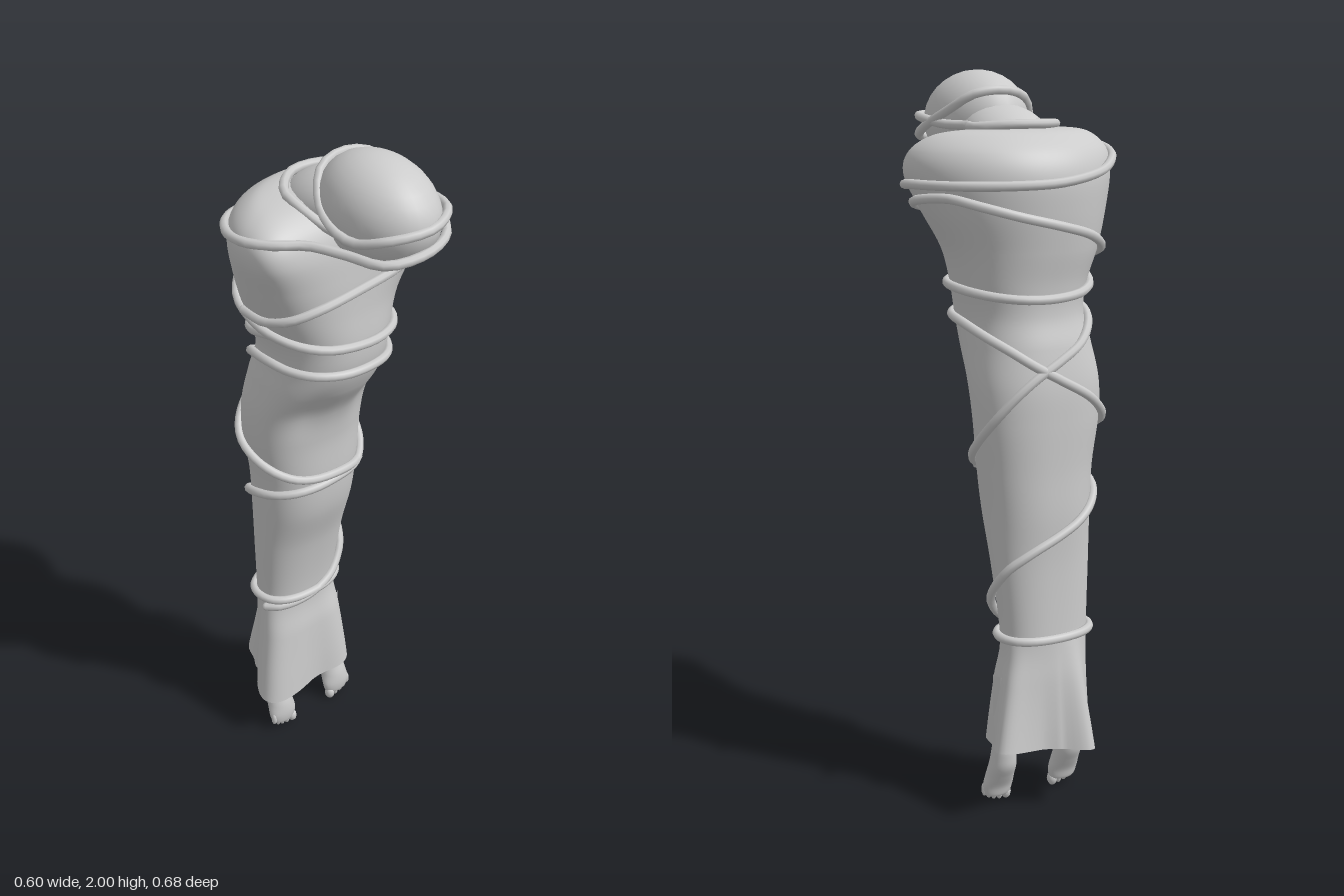
import * as THREE from 'three';
import { ParametricGeometry } from 'three/addons/geometries/ParametricGeometry.js';

const RAD = Math.PI / 180;
const grey = new THREE.MeshStandardMaterial({ color: 0xcccccc });
const greyThin = new THREE.MeshStandardMaterial({ color: 0xcccccc, side: THREE.DoubleSide });

// Cross-sections: [y, centre x, half width, front z, back z, forward curl of the sides]
const SHROUD = [
  [0.175, -0.005, 0.15, -0.085, -0.295, 0],
  [0.26, -0.005, 0.145, -0.09, -0.29, 0],
  [0.38, -0.005, 0.135, -0.10, -0.282, 0],
  [0.50, -0.008, 0.126, -0.115, -0.272, 0],
  [0.70, -0.006, 0.14, -0.085, -0.268, 0],
  [0.85, -0.004, 0.15, -0.042, -0.274, 0],
  [0.97, -0.003, 0.16, -0.03, -0.273, 0],
  [1.10, -0.008, 0.176, -0.025, -0.275, 0],
  [1.20, -0.008, 0.18, 0.00, -0.273, 0],
  [1.30, -0.005, 0.172, 0.062, -0.258, 0],
  [1.38, 0, 0.166, 0.093, -0.238, 0],
  [1.46, 0, 0.178, 0.10, -0.24, 0],
  [1.55, -0.008, 0.21, 0.095, -0.255, 0.02],
  [1.65, -0.003, 0.255, 0.092, -0.268, 0.055],
  [1.74, 0, 0.288, 0.085, -0.27, 0.085],
  [1.80, -0.002, 0.278, 0.065, -0.245, 0.08],
  [1.84, -0.002, 0.225, 0.02, -0.195, 0.055],
  [1.854, 0, 0.14, -0.03, -0.155, 0.02],
  [1.857, 0, 0.01, -0.09, -0.11, 0],
];
const LEG = [
  [0.02, 0, 0.012, -0.132, -0.15, 0],
  [0.026, 0, 0.037, -0.122, -0.16, 0],
  [0.055, 0, 0.046, -0.117, -0.17, 0],
  [0.09, 0, 0.042, -0.12, -0.19, 0],
  [0.125, 0, 0.039, -0.13, -0.208, 0],
  [0.16, 0, 0.036, -0.14, -0.212, 0],
  [0.22, 0, 0.034, -0.15, -0.212, 0],
  [0.40, 0, 0.034, -0.15, -0.22, 0],
];

// Smooth value between the rows of a table, t in row units
function blend(rows, t) {
  const i = Math.min(Math.max(Math.floor(t), 0), rows.length - 2), f = t - i;
  const at = k => rows[Math.min(Math.max(k, 0), rows.length - 1)];
  return rows[i].map((b, c) => {
    const a = at(i - 1)[c], d = at(i + 1)[c], e = at(i + 2)[c];
    return b + 0.5 * f * (d - a + f * (2 * a - 5 * b + 4 * d - e + f * (3 * (b - d) + e - a)));
  });
}

// Point on a lofted section; angle 0 faces front, 90 degrees faces +x
function sectionPoint(rows, t, angle, power, target) {
  const [y, cx, rx, front, back, curl] = blend(rows, t);
  const s = Math.sin(angle), c = Math.cos(angle);
  const sx = Math.sign(s) * Math.abs(s) ** power, cz = Math.sign(c) * Math.abs(c) ** power;
  return target.set(cx + rx * sx, y, (front + back) / 2 + (front - back) / 2 * cz + curl * sx * sx);
}

const bump = (angle, centre, width) => {
  const d = Math.atan2(Math.sin(angle - centre * RAD), Math.cos(angle - centre * RAD)) / (width * RAD);
  return Math.exp(-d * d);
};

// Cloth surface: loft plus hem folds and shallow hollows under the folded arms
function shroudPoint(t, angle, target) {
  const p = sectionPoint(SHROUD, t, angle, 0.86, target);
  const flare = Math.max(0, (0.5 - p.y) / 0.325);
  const dentY = Math.exp(-(((p.y - 1.23) / 0.08) ** 2));
  const push = flare * (0.045 * bump(angle, -62, 28) + 0.02 * bump(angle, 38, 22)
    + 0.055 * bump(angle, 120, 20) + 0.05 * bump(angle, 200, 14) - 0.01 * bump(angle, 165, 14)
    - 0.02 * bump(angle, 250, 16) - 0.012 * bump(angle, 0, 18))
    - dentY * (0.014 * bump(angle, -28, 20) + 0.008 * bump(angle, 32, 16));
  p.x += push * Math.sin(angle);
  p.z += push * Math.cos(angle);
  p.y += flare * (0.12 * p.x - 0.12 * (p.z + 0.14));
  return p;
}

// Point just off the cloth at a given height, for laying ropes
function onShroud(deg, y, off = 0.008) {
  let lo = 0, hi = SHROUD.length - 1;
  for (let i = 0; i < 24; i++) {
    const mid = (lo + hi) / 2;
    if (blend(SHROUD, mid)[0] < y) lo = mid; else hi = mid;
  }
  const a = deg * RAD, p = shroudPoint(lo, a, new THREE.Vector3());
  return p.add(new THREE.Vector3(Math.sin(a) * off, 0, Math.cos(a) * off));
}

// Rope rows [degrees, height, extra slack] become points on the cloth
function wind(rows) {
  const full = rows.map(r => [r[0], r[1], r[2] ?? 0.008]);
  const pts = [];
  for (let i = 0; i < full.length - 1; i++) {
    const steps = Math.max(1, Math.round((full[i + 1][0] - full[i][0]) / 22));
    for (let k = 0; k < steps; k++) pts.push(onShroud(...blend(full, i + k / steps)));
  }
  pts.push(onShroud(...full[full.length - 1]));
  return pts;
}

export function createModel() {
  const model = new THREE.Group();
  const add = (name, geometry, material = grey, parent = model) => {
    const mesh = new THREE.Mesh(geometry, material);
    mesh.name = name;
    parent.add(mesh);
    return mesh;
  };
  const ellipsoid = (name, pos, radii, tilt = 0, parent = model, detail = 32) => {
    const mesh = add(name, new THREE.SphereGeometry(1, detail, detail / 2), grey, parent);
    mesh.position.set(...pos);
    mesh.scale.set(...radii);
    mesh.rotation.x = tilt;
  };
  const rope = (name, pts, closed = false) => {
    const curve = new THREE.CatmullRomCurve3(pts, closed, 'centripetal');
    add(name, new THREE.TubeGeometry(curve, pts.length * 3, 0.0125, 8, closed));
    if (!closed) for (const end of [pts[0], pts[pts.length - 1]])
      ellipsoid('ropeEnd', end.toArray(), [0.0125, 0.0125, 0.0125], 0, model, 8);
  };

  // Cloth-wrapped body, open at the hem
  add('shroud', new ParametricGeometry((u, v, p) =>
    shroudPoint(v * (SHROUD.length - 1), u * Math.PI * 2, p), 96, 120), greyThin);

  // Bowed, covered head
  ellipsoid('neck', [0, 1.82, -0.02], [0.115, 0.088, 0.16], -0.3);
  ellipsoid('head', [-0.004, 1.868, 0.157], [0.128, 0.13, 0.178], 0.12);
  ellipsoid('face', [-0.004, 1.802, 0.1], [0.085, 0.082, 0.1]);

  // Hanging legs and feet, big toe on the inner side
  for (const side of [1, -1]) {
    const leg = new THREE.Group();
    leg.name = side > 0 ? 'leftLeg' : 'rightLeg';
    leg.position.x = side * 0.108;
    model.add(leg);
    add('foot', new ParametricGeometry((u, v, p) =>
      sectionPoint(LEG, v * (LEG.length - 1), u * Math.PI * 2, 1, p), 24, 32), grey, leg);
    [-0.03, -0.009, 0.009, 0.025, 0.039].forEach((x, i) => {
      const r = i ? 0.0098 - i * 0.0004 : 0.0145;
      ellipsoid('toe', [side * x, 0.022 + i * i * 0.0014, -0.136], [r, 0.021, r * 1.15], 0, leg, 12);
    });
  }

  // Ropes around the cloth
  const ring = [];
  for (let d = 0; d < 360; d += 24) ring.push(onShroud(d, 0.51));
  rope('ankleRope', ring, true);
  rope('legRope', wind([[-75, 0.48], [0, 0.505], [50, 0.56], [90, 0.64, 0.02], [125, 0.72, 0.02],
    [180, 0.8], [270, 0.92], [360, 0.96], [405, 0.97], [450, 1.05], [500, 1.18], [540, 1.27],
    [600, 1.37], [630, 1.39], [720, 1.38], [765, 1.37], [810, 1.36], [860, 1.3], [900, 1.22],
    [950, 1.12], [990, 1.06], [1040, 1.0], [1080, 0.98], [1125, 0.965]]));
  rope('armRope', wind([[-105, 1.54], [-80, 1.55], [-30, 1.6], [0, 1.62], [50, 1.65],
    [90, 1.68], [120, 1.69], [180, 1.62], [240, 1.54], [270, 1.51], [310, 1.48], [360, 1.46],
    [450, 1.45], [540, 1.43], [610, 1.46], [640, 1.5]]));

  // One rope runs from the chest over the shoulder, twice around the head and around the neck
  const headTurns = [
    [-0.19, 1.805, 0.11], [-0.145, 1.8, 0.2], [-0.11, 1.8, 0.3], [0, 1.81, 0.33], [0.1, 1.82, 0.285],
    [0.13, 1.85, 0.2], [0.12, 1.9, 0.08], [0.08, 1.94, 0.02], [0, 1.95, 0], [-0.07, 1.93, 0.015],
    [-0.12, 1.86, 0.08], [-0.133, 1.83, 0.2], [-0.1, 1.855, 0.29], [0, 1.87, 0.335], [0.1, 1.875, 0.285],
    [0.13, 1.87, 0.2], [0.122, 1.86, 0.1], [0.1, 1.86, 0.02], [0.125, 1.86, -0.05],
    [0.06, 1.868, -0.12], [-0.04, 1.868, -0.132], [-0.122, 1.862, -0.06], [-0.13, 1.85, 0],
    [-0.09, 1.8, 0.08], [-0.03, 1.76, 0.1],
  ].map(p => new THREE.Vector3(...p));
  rope('shoulderAndHeadRope', [...wind([[-10, 1.74], [45, 1.71], [90, 1.72], [180, 1.73],
    [225, 1.77], [270, 1.8], [300, 1.805]]), ...headTurns]);

  return model;
}
